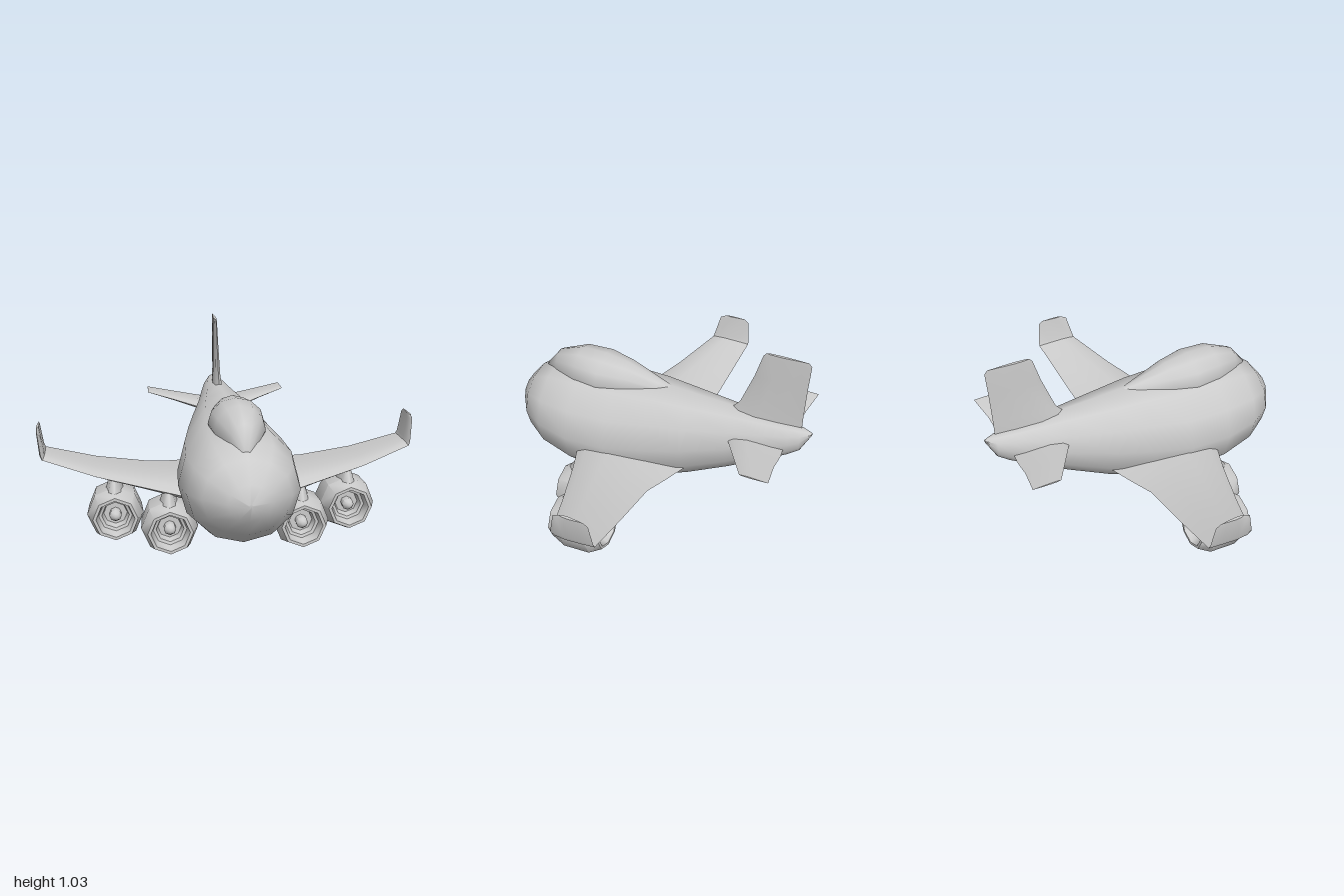
import * as THREE from 'three';
import { toCreasedNormals } from 'three/addons/utils/BufferGeometryUtils.js';

const material = new THREE.MeshStandardMaterial({ color: 0xcccccc });

// Skin over rings of equal point count, with fan caps; winding is turned outward by signed volume
function loft(rings, crease) {
  const n = rings[0].length, pos = rings.flat(2), tris = [];
  for (let r = 0; r < rings.length - 1; r++) {
    for (let i = 0; i < n; i++) {
      const a = r * n + i, b = r * n + (i + 1) % n;
      tris.push([a, b, b + n], [a, b + n, a + n]);
    }
  }
  const last = (rings.length - 1) * n;
  for (let i = 1; i < n - 1; i++) tris.push([0, i + 1, i], [last, last + i, last + i + 1]);
  const v = (i) => new THREE.Vector3().fromArray(pos, i * 3);
  const volume = tris.reduce((s, [a, b, c]) => s + v(a).dot(v(b).cross(v(c))), 0);
  if (volume < 0) tris.forEach((t) => t.reverse());
  const geo = new THREE.BufferGeometry();
  geo.setAttribute('position', new THREE.Float32BufferAttribute(pos, 3));
  geo.setIndex(tris.flat());
  return toCreasedNormals(geo, crease);
}

// Elliptical cross-sections: [z, bottom, top, halfWidth]
function body(stations, sides) {
  return loft(stations.map(([z, bottom, top, w]) => Array.from({ length: sides }, (_, i) => {
    const a = (i / sides) * Math.PI * 2;
    return [w * Math.sin(a), (top + bottom) / 2 + (top - bottom) / 2 * Math.cos(a), z];
  })), 1.1);
}

// Foil cross-sections: [x, y, zLeading, zTrailing, thickness, tilt]; side mirrors in x
const foilShape = [[0, 0], [0.1, 0.36], [0.35, 0.5], [0.7, 0.28], [1, 0], [0.7, -0.28], [0.35, -0.5], [0.1, -0.36]];
function foil(stations, side = 1) {
  return loft(stations.map(([x, y, z0, z1, t, tilt]) => foilShape.map(([c, h]) => [
    side * (x - h * t * Math.sin(tilt)), y + h * t * Math.cos(tilt), z0 + (z1 - z0) * c,
  ])), 0.7);
}

export function createModel() {
  const model = new THREE.Group();
  model.name = 'airplane';
  const add = (name, geo, parent = model) => {
    const mesh = new THREE.Mesh(geo, material);
    mesh.name = name;
    parent.add(mesh);
    return mesh;
  };

  // Fuselage and raised upper deck
  add('fuselage', body([
    [0.825, 0.44, 0.46, 0.01], [0.79, 0.36, 0.54, 0.1], [0.71, 0.26, 0.635, 0.21],
    [0.6, 0.175, 0.69, 0.27], [0.42, 0.115, 0.71, 0.298], [0.2, 0.11, 0.71, 0.285],
    [0, 0.15, 0.715, 0.243], [-0.2, 0.22, 0.703, 0.195], [-0.42, 0.325, 0.69, 0.135],
    [-0.6, 0.425, 0.678, 0.095], [-0.72, 0.495, 0.67, 0.064], [-0.775, 0.535, 0.665, 0.042],
    [-0.825, 0.635, 0.65, 0.008],
  ], 12));
  add('upperDeck', body([
    [0.67, 0.6, 0.665, 0.02], [0.59, 0.58, 0.76, 0.07], [0.45, 0.56, 0.81, 0.125],
    [0.31, 0.56, 0.81, 0.14], [0.18, 0.58, 0.788, 0.105], [0, 0.62, 0.73, 0.05],
    [-0.1, 0.65, 0.7, 0.01],
  ], 12));

  // Tail fin
  const up = Math.PI / 2;
  add('tailFin', foil([
    [0, 0.64, -0.38, -0.77, 0.055, up], [0, 0.69, -0.41, -0.772, 0.05, up],
    [0, 0.73, -0.445, -0.772, 0.04, up], [0, 0.9, -0.51, -0.778, 0.026, up],
    [0, 1.02, -0.545, -0.785, 0.018, up], [0, 1.038, -0.56, -0.77, 0.016, up],
  ]));

  // Engine nacelle: exhaust, cowl, intake, fan and spinner in one profile
  const nacelle = new THREE.LatheGeometry([
    [0, -0.235], [0.07, -0.235], [0.085, -0.28], [0.1, -0.28], [0.137, -0.22], [0.144, -0.08],
    [0.114, 0], [0.098, 0], [0.085, -0.05], [0.07, -0.055], [0.06, -0.09],
    [0.03, -0.09], [0.031, -0.05], [0.018, -0.03], [0, -0.025],
  ].map(([r, z]) => new THREE.Vector2(r, z)), 8);
  nacelle.rotateX(Math.PI / 2);
  const nacelleGeo = toCreasedNormals(nacelle, 0.85);
  const pylonGeo = new THREE.CylinderGeometry(0.024, 0.05, 0.09, 8);
  pylonGeo.scale(1, 1, 2.6);

  for (const [side, label] of [[1, 'left'], [-1, 'right']]) {
    // Wing sweeping into an upturned tip
    add(label + 'Wing', foil([
      [0.1, 0.325, 0.42, -0.23, 0.1, 0], [0.28, 0.33, 0.36, -0.17, 0.09, 0],
      [0.42, 0.347, 0.3, -0.13, 0.062, 0], [0.7, 0.387, 0.193, -0.13, 0.034, 0],
      [0.968, 0.45, 0.09, -0.14, 0.024, 0.6], [0.976, 0.47, 0.085, -0.138, 0.022, 1.4],
      [0.99, 0.585, 0.055, -0.125, 0.016, 1.45], [0.992, 0.602, 0.02, -0.1, 0.014, 1.45],
    ], side));

    // Horizontal tail
    add(label + 'Tailplane', foil([
      [0.03, 0.545, -0.39, -0.7, 0.06, 0], [0.13, 0.56, -0.44, -0.715, 0.045, 0],
      [0.25, 0.583, -0.51, -0.72, 0.026, 0], [0.4, 0.608, -0.6, -0.743, 0.008, 0],
    ], side));

    // Two engines under each wing
    for (const [kind, x, y, z] of [['Inner', 0.337, 0.148, 0.4], ['Outer', 0.607, 0.186, 0.28]]) {
      const engine = new THREE.Group();
      engine.name = label + kind + 'Engine';
      engine.position.set(side * x, y, z);
      add('nacelle', nacelleGeo, engine);
      add('pylon', pylonGeo, engine).position.set(0, 0.147, -0.14);
      model.add(engine);
    }
  }
  return model;
}
